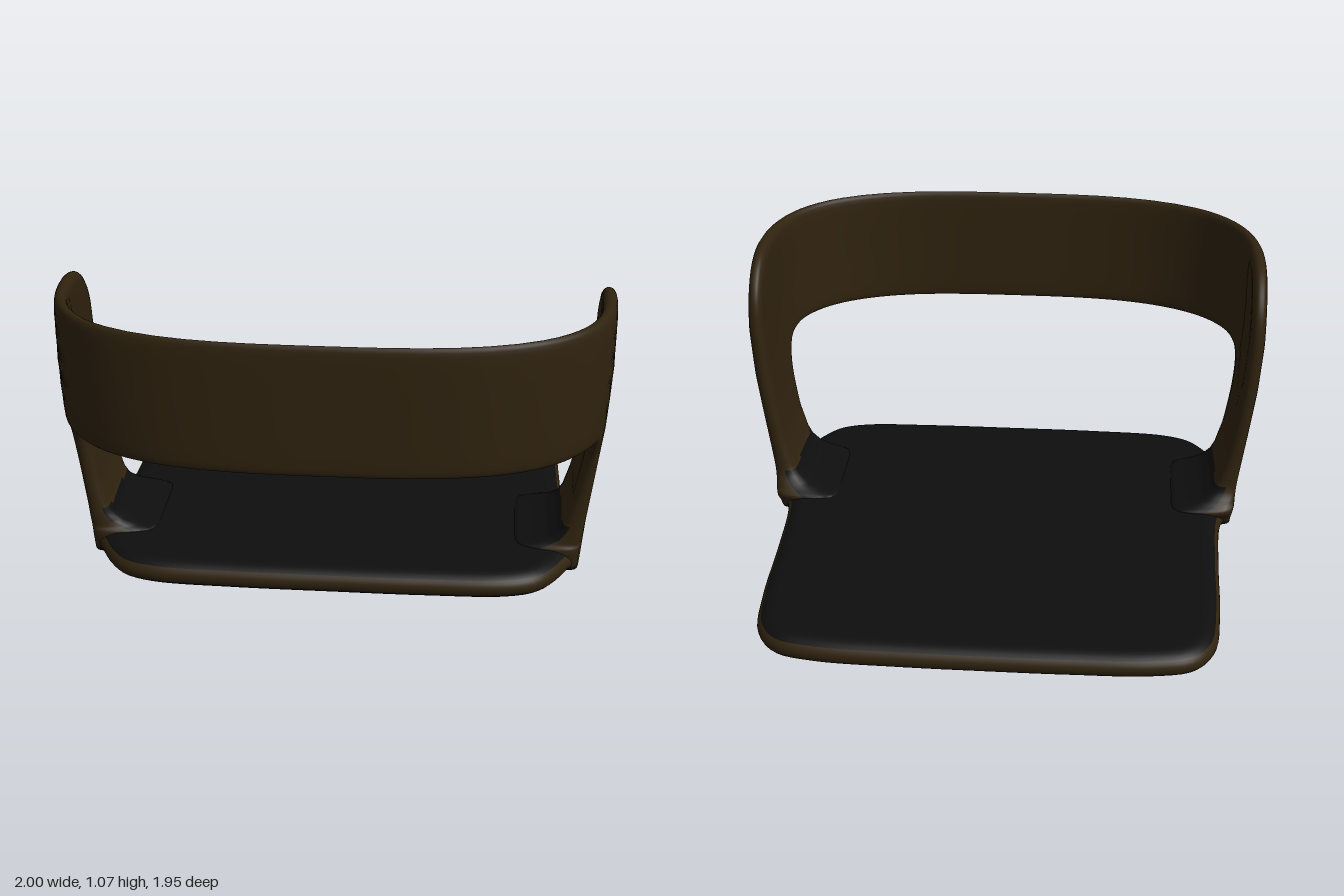
import * as THREE from 'three';

const brown = new THREE.MeshStandardMaterial({ color: 0x30230f });
brown.name = 'dark brown shell';
const black = new THREE.MeshStandardMaterial({ color: 0x0e0e0e });
black.name = 'black upholstery';

// Smooth skin over closed rings of points; isBlack(quad centre, ring index, point index) picks the colour
function skin(name, rings, isBlack) {
  const n = rings[0].length;
  const parts = [[], []];
  for (let i = 0; i < rings.length - 1; i++) {
    for (let j = 0; j < n; j++) {
      const k = (j + 1) % n;
      const a = i * n + j, b = a + n, c = i * n + k, d = c + n;
      const mid = rings[i][j].clone().add(rings[i + 1][k]).multiplyScalar(0.5);
      parts[isBlack(mid, i, j) ? 1 : 0].push(a, b, c, b, d, c);
    }
  }
  const geo = new THREE.BufferGeometry().setFromPoints(rings.flat());
  geo.setIndex([...parts[0], ...parts[1]]);
  geo.addGroup(0, parts[0].length, 0);
  geo.addGroup(parts[0].length, parts[1].length, 1);
  geo.computeVertexNormals();
  const mesh = new THREE.Mesh(geo, [brown, black]);
  mesh.name = name;
  return mesh;
}

// Linear lookup in a list of [key, value] pairs
function lookup(table, x) {
  if (x <= table[0][0]) return table[0][1];
  for (let i = 1; i < table.length; i++) {
    const [x0, v0] = table[i - 1], [x1, v1] = table[i];
    if (x <= x1) return v0 + (v1 - v0) * (x - x0) / (x1 - x0);
  }
  return table[table.length - 1][1];
}

const centroid = (ring) => {
  const c = new THREE.Vector3();
  ring.forEach((p) => c.add(p));
  c.divideScalar(ring.length);
  return ring.map(() => c.clone());
};

// Flat cushion with a rounded rim
function makeSeat() {
  const half = [[0.3, -0.978], [0.6, -0.965], [0.75, -0.925], [0.82, -0.83], [0.845, -0.62], [0.85, -0.3],
    [0.86, -0.02], [0.875, 0.06], [0.9, 0.12], [0.905, 0.28], [0.9, 0.43], [0.865, 0.5], [0.82, 0.585],
    [0.755, 0.66], [0.64, 0.702], [0.35, 0.718]];
  const pts = [[0, -0.98], ...half, [0, 0.72], ...half.slice().reverse().map(([x, z]) => [-x, z])];
  const curve = new THREE.CatmullRomCurve3(pts.map(([x, z]) => new THREE.Vector3(x, 0, z)), true);
  const N = 200, edge = [];
  for (let j = 0; j < N; j++) {
    const t = curve.getPointAt(1 - (j + 0.5) / N), d = curve.getTangentAt(1 - (j + 0.5) / N);
    edge.push({ p: t, n: new THREE.Vector3(-d.z, 0, d.x) });
  }
  const ring = (inset, y, scale) => edge.map(({ p, n }) => {
    const q = p.clone().addScaledVector(n, inset);
    return new THREE.Vector3(q.x * scale, y, -0.13 + (q.z + 0.13) * scale);
  });
  const rings = [ring(0.07, 0.1, 0), ring(0.07, 0.1, 0.5), ring(0.07, 0.1, 0.95)];
  const S = 14;
  for (let i = 0; i <= S; i++) {
    const a = Math.PI * (0.5 - i / S);
    rings.push(ring(0.07 * (1 - Math.cos(a)), 0.05 + 0.05 * Math.sin(a), 1));
  }
  rings.push(ring(0.07, 0, 0.95), ring(0.07, 0, 0.5), ring(0.07, 0, 0));
  return skin('seat', rings, (m) => m.y < 0.028 || m.y > 0.083);
}

// One continuous band: up one arm, round the curved rail and down the other arm
function makeArmsAndRail() {
  // plan of the outer face on the left side, from the arm to the centre line
  const plan = [new THREE.Vector3(1, 0, -0.1), new THREE.Vector3(1, 0, 0.1)];
  for (let i = 0; i <= 24; i++) {
    const a = (i / 24) * Math.PI / 2;
    plan.push(new THREE.Vector3(Math.max(0, Math.cos(a)) ** (2 / 3), 0, 0.25 + 0.72 * Math.sin(a) ** (2 / 3)));
  }
  const path = new THREE.CatmullRomCurve3(plan);
  const total = path.getLength(), L = total - 0.1;

  const lean = [[0, 0.91], [0.2, 0.93], [0.4, 0.957], [0.6, 0.983], [0.8, 0.998], [1, 1]];
  const fillet = [[0.012, 0.12], [0.06, 0.22], [0.1, 0.25], [0.115, 0.19], [0.135, 0.135], [0.165, 0.1],
    [0.2, 0.083], [0.3, 0.066], [0.45, 0.06]];
  const taper = [[0.4, 1], [0.9, 0.6], [1.3, 0.5]];

  // distance along the plan and height: back/top edge, then front/lower edge
  const stations = [
    [0.09, 0.012, 0.47, 0.012], [0.06, 0.05, 0.49, 0.05], [0.02, 0.1, 0.5, 0.1], [0.05, 0.13, 0.485, 0.12],
    [0.08, 0.17, 0.478, 0.16], [0.09, 0.25, 0.475, 0.22], [0.09, 0.5, 0.475, 0.34], [0.092, 0.7, 0.485, 0.43],
    [0.1, 0.83, 0.5, 0.49], [0.125, 0.93, 0.53, 0.54], [0.175, 1.0, 0.57, 0.572], [0.24, 1.045, 0.62, 0.588],
    [0.32, 1.066, 0.68, 0.597], [0.42, 1.07, 0.78, 0.6], [0.6, 1.07, 0.95, 0.6], [0.95, 1.07, 1.18, 0.6],
    [L, 1.07, L, 0.6]];
  const edgeCurve = (k) => new THREE.CatmullRomCurve3(stations.map((s) => new THREE.Vector3(s[k], s[k + 1], 0)));
  const back = edgeCurve(0), front = edgeCurve(2);

  // thin cross-section with rounded ends: w runs across the band, v through its thickness
  const ws = [-1, -0.992, -0.97, -0.93, -0.86, -0.7, -0.4, 0, 0.4, 0.7, 0.86, 0.93, 0.97, 0.992, 1];
  const section = [
    ...ws.map((w) => [w, Math.sqrt(Math.max(0, 1 - Math.abs(w) ** 14))]),
    ...ws.slice(1, -1).reverse().map((w) => [w, -Math.sqrt(1 - Math.abs(w) ** 14)])];

  const STEPS = 112;
  const ringAt = (i, side) => {
    const P = back.getPoint(i / STEPS), Q = front.getPoint(i / STEPS);
    return section.map(([w, v]) => {
      const q = P.clone().lerp(Q, (w + 1) / 2);
      const u = Math.min(1, (q.x + 0.1) / total);
      const p = path.getPointAt(u), t = path.getTangentAt(u);
      if (i === STEPS) t.set(-1, 0, 0);
      const inward = lookup(fillet, q.y) * lookup(taper, q.x) * (1 - v) / 2;
      const x = i === STEPS ? 0 : p.x * lookup(lean, q.y) - t.z * inward;
      return new THREE.Vector3(side * x, q.y, p.z + t.x * inward);
    });
  };
  const rings = [];
  for (let i = 0; i <= STEPS; i++) rings.push(ringAt(i, 1));
  for (let i = STEPS - 1; i >= 0; i--) rings.push(ringAt(i, -1));
  rings.unshift(centroid(rings[0]));
  rings.push(centroid(rings[rings.length - 1]));

  // upholstery runs up the inner fillet of each arm
  return skin('armsAndRail', rings, (m, i, j) => m.y < 0.028 || (j >= ws.length && m.y < 0.19));
}

export function createModel() {
  const group = new THREE.Group();
  group.name = 'chairShell';
  group.add(makeSeat(), makeArmsAndRail());
  return group;
}
